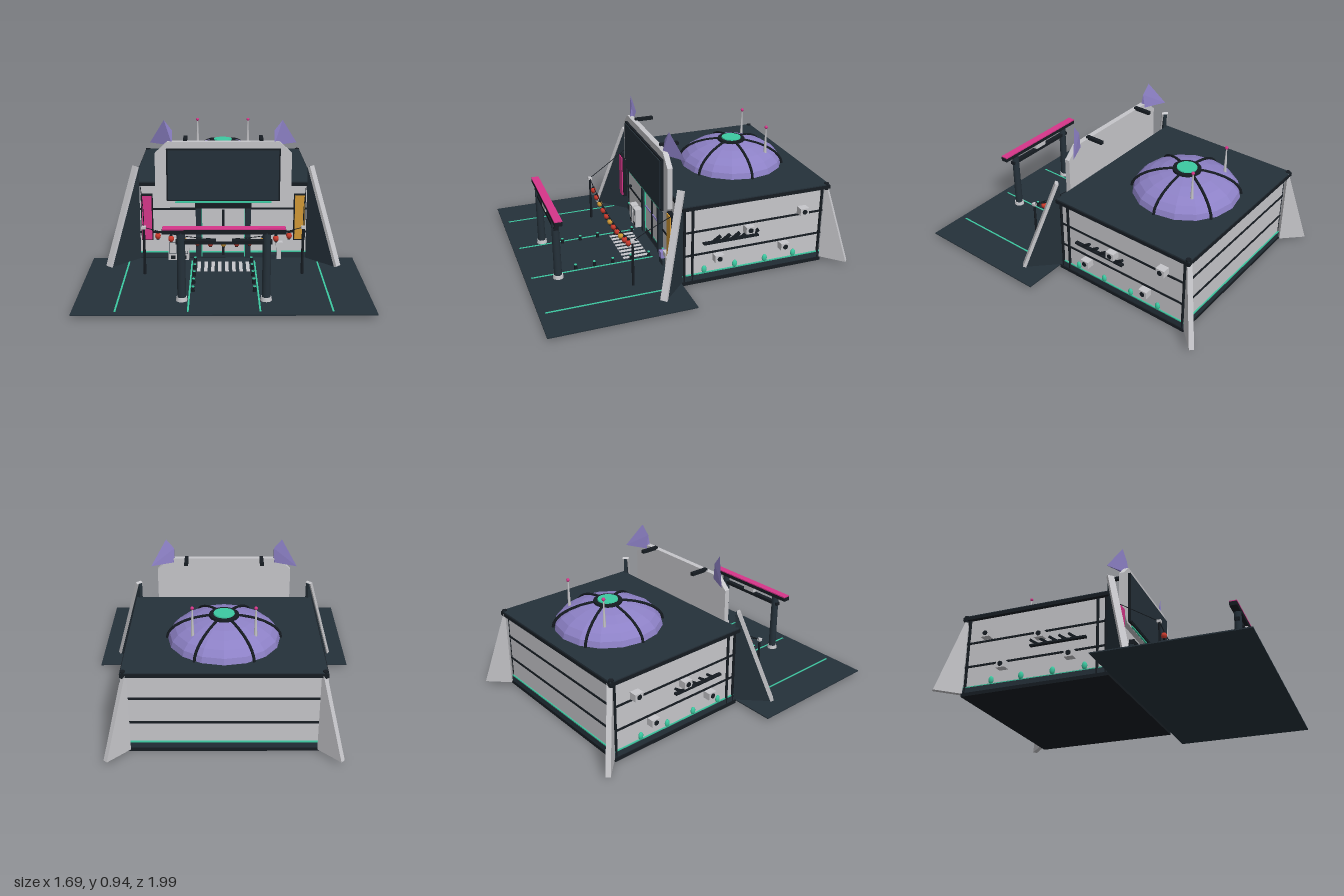
import * as THREE from 'three';
import { ConvexGeometry } from 'three/addons/geometries/ConvexGeometry.js';

const V = (x, y, z) => new THREE.Vector3(x, y, z);
const mat = (name, color, extra = {}) => Object.assign(new THREE.MeshStandardMaterial({ color, ...extra }), { name });

export function createModel() {
  const root = new THREE.Group();
  root.name = 'building';
  const wall = mat('lightGrey', 0xc6c6ca);
  const dark = mat('darkSlate', 0x25313a);
  const black = mat('nearBlack', 0x161c22);
  const purple = mat('purple', 0x8d81c6);
  const green = mat('mintGreen', 0x3cc9a1);
  const pink = mat('pink', 0xd6368a);
  const gold = mat('gold', 0xd39a36);
  const red = mat('red', 0xcb3a2c);
  purple.flatShading = true;

  const add = (name, geo, m, x = 0, y = 0, z = 0) => {
    const mesh = new THREE.Mesh(geo, m);
    mesh.name = name;
    mesh.position.set(x, y, z);
    root.add(mesh);
    return mesh;
  };
  // Box given by its minimum and maximum corners
  const box = (name, m, x0, x1, y0, y1, z0, z1) =>
    add(name, new THREE.BoxGeometry(x1 - x0, y1 - y0, z1 - z0), m, (x0 + x1) / 2, (y0 + y1) / 2, (z0 + z1) / 2);
  const cyl = (name, m, rTop, rBottom, y0, y1, x, z, n = 12) =>
    add(name, new THREE.CylinderGeometry(rTop, rBottom, y1 - y0, n), m, x, (y0 + y1) / 2, z);
  const tube = (name, m, points, r, n = 16) =>
    add(name, new THREE.TubeGeometry(new THREE.CatmullRomCurve3(points), n, r, 5), m);

  // Main block
  box('baseSlab', black, -0.567, 0.567, 0, 0.022, -0.845, 0.112);
  box('plinth', dark, -0.56, 0.56, 0.022, 0.057, -0.845, 0.105);
  box('plinthLight', green, -0.557, 0.557, 0.057, 0.064, -0.842, 0.102);
  box('walls', wall, -0.55, 0.55, 0.06, 0.515, -0.835, 0.09);
  for (const y of [0.195, 0.352]) box('wallBand', black, -0.556, 0.556, y - 0.006, y + 0.006, -0.841, 0.096);
  box('roofEdge', black, -0.578, 0.578, 0.508, 0.53, -0.87, 0.112);
  box('roof', dark, -0.573, 0.573, 0.525, 0.537, -0.865, 0.107);
  for (const s of [-1, 1]) {
    for (const z of [0.09, 0.037, -0.828]) cyl('wallPost', black, 0.009, 0.009, 0.02, 0.515, s * 0.553, z, 8);
    cyl('roofCornerCap', black, 0.016, 0.016, 0.5, 0.542, s * 0.56, -0.852, 8);
  }

  // Corner fins: dark with a pale rail in front, plain at the back
  const fin = (name, m, length, top, thick, x, z, angle) => {
    const shape = new THREE.Shape([[-0.01, 0.022], [length, 0.022], [0, top], [-0.01, top]].map(p => new THREE.Vector2(...p)));
    const geo = new THREE.ExtrudeGeometry(shape, { depth: thick, bevelEnabled: false }).translate(0, 0, -thick / 2);
    add(name, geo, m, x, 0, z).rotation.y = angle;
  };
  for (const s of [-1, 1]) {
    const front = s > 0 ? -Math.PI / 4 : -3 * Math.PI / 4;
    fin('frontFin', dark, 0.235, 0.635, 0.022, s * 0.55, 0.11, front);
    fin('rearFin', wall, 0.165, 0.53, 0.03, s * 0.556, -0.858, -front);
    const rail = add('finRail', new THREE.BoxGeometry(0.02, 0.655, 0.042), wall, s * 0.637, 0.334, 0.197);
    rail.rotation.set(0, front, Math.atan2(0.235, 0.613), 'YXZ');
  }

  // Dome with ribs and cap
  const R = 0.335, H = 0.153, domeZ = -0.45, y0 = 0.533;
  const profile = [];
  for (let i = 0; i <= 6; i++) {
    const a = i / 6 * Math.PI / 2;
    profile.push(new THREE.Vector2(Math.max(R * Math.cos(a), 0.0001), H * Math.sin(a)));
  }
  add('dome', new THREE.LatheGeometry(profile, 16), purple, 0, y0, domeZ);
  for (let k = 0; k < 3; k++) {
    const pts = [];
    for (let i = 0; i <= 12; i++) {
      const a = i / 12 * Math.PI;
      pts.push(V((R + 0.004) * Math.cos(a), (H + 0.002) * Math.sin(a), 0));
    }
    const rib = tube('domeRib', black, pts, 0.009, 24);
    rib.position.set(0, y0, domeZ);
    rib.rotation.y = k * Math.PI / 3;
  }
  cyl('domeCap', black, 0.088, 0.09, 0.672, 0.694, 0, domeZ, 20);
  cyl('domeLight', green, 0.062, 0.064, 0.69, 0.701, 0, domeZ, 20);
  for (const s of [-1, 1]) {
    cyl('antenna', wall, 0.004, 0.011, 0.61, 0.8, s * 0.18, -0.61, 8);
    add('antennaTip', new THREE.SphereGeometry(0.011, 8, 6), pink, s * 0.18, 0.807, -0.61);
  }

  // Front billboard
  const outline = [[-0.35, 0.805], [-0.43, 0.73], [-0.43, 0.465], [-0.375, 0.41], [0.375, 0.41], [0.43, 0.465], [0.43, 0.73], [0.35, 0.805]];
  const board = new THREE.Shape(outline.map(p => new THREE.Vector2(...p)));
  add('billboard', new THREE.ExtrudeGeometry(board, { depth: 0.033, bevelEnabled: false }), wall, 0, 0, 0.12);
  box('screenFrame', black, -0.358, 0.358, 0.425, 0.762, 0.15, 0.168);
  box('screen', dark, -0.348, 0.348, 0.435, 0.752, 0.166, 0.174);
  box('screenLight', green, -0.305, 0.305, 0.412, 0.42, 0.15, 0.163);
  for (const s of [-1, 1]) {
    box('billboardBracket', black, s * 0.24 - 0.012, s * 0.24 + 0.012, 0.798, 0.818, 0.015, 0.135);
    // Pointed ears on the billboard corners
    add('ear', new ConvexGeometry([V(s * 0.465, 0.78, 0.053), V(s * 0.37, 0.937, 0.122),
      V(s * 0.32, 0.873, 0.13), V(s * 0.318, 0.78, 0.145), V(s * 0.325, 0.78, 0.118)]), purple);
  }

  // Entrance
  box('doorPanel', wall, -0.145, 0.145, 0.022, 0.365, 0.09, 0.1);
  box('doorLintel', black, -0.18, 0.18, 0.362, 0.392, 0.09, 0.125);
  box('doorSplit', black, -0.008, 0.008, 0.04, 0.35, 0.098, 0.108);
  box('doorHandleBar', purple, -0.14, 0.14, 0.219, 0.23, 0.098, 0.106);
  for (const s of [-1, 1]) {
    box('doorJamb', dark, s * 0.159 - 0.018, s * 0.159 + 0.018, 0.022, 0.37, 0.09, 0.12);
    box('doorLight', green, s * 0.139 - 0.003, s * 0.139 + 0.003, 0.03, 0.36, 0.098, 0.108);
    // Hanging banners
    const x = s * 0.486;
    box('bannerFrame', black, x - 0.037, x + 0.037, 0.163, 0.465, 0.135, 0.162);
    box('banner', s < 0 ? pink : gold, x - 0.031, x + 0.031, 0.17, 0.458, 0.16, 0.169);
    for (const y of [0.22, 0.41]) box('bannerArm', black, x - 0.01, x + 0.01, y - 0.007, y + 0.007, 0.085, 0.14);
  }

  // Kiosks and bins beside the door
  for (const x of [-0.325, -0.252]) {
    box('kiosk', wall, x - 0.03, x + 0.03, 0.022, 0.155, 0.1, 0.148);
    box('kioskScreen', dark, x - 0.022, x + 0.022, 0.065, 0.145, 0.146, 0.15);
    box('kioskPanel', wall, x - 0.02, x + 0.02, 0.067, 0.143, 0.149, 0.151);
    box('kioskSlot', black, x - 0.014, x + 0.014, 0.03, 0.052, 0.146, 0.151);
  }
  box('crate', purple, 0.262, 0.305, 0.06, 0.103, 0.11, 0.15);
  box('crateStand', dark, 0.262, 0.335, 0.022, 0.06, 0.11, 0.15);
  box('terminalPost', wall, 0.347, 0.375, 0.022, 0.112, 0.12, 0.14);
  box('terminalHead', wall, 0.338, 0.384, 0.108, 0.14, 0.11, 0.15);

  // Side wall details
  for (const s of [-1, 1]) {
    for (const [z, y] of [[-0.325, 0.322], [-0.69, 0.385], [-0.125, 0.163], [-0.57, 0.163]]) {
      box('ventBox', wall, s * 0.574 - 0.026, s * 0.574 + 0.026, y - 0.023, y + 0.023, z - 0.029, z + 0.029);
      add('ventFan', new THREE.CylinderGeometry(0.016, 0.016, 0.006, 12), black, s * 0.601, y, z).rotation.z = Math.PI / 2;
    }
    for (const z of [-0.04, -0.245, -0.45, -0.65])
      add('ovalLamp', new THREE.SphereGeometry(1, 10, 8), green, s * 0.555, 0.086, z).scale.set(0.012, 0.025, 0.017);
    box('louvreRail', black, s * 0.56 - 0.014, s * 0.56 + 0.014, 0.26, 0.272, -0.395, -0.03);
    for (let i = 0; i < 5; i++) {
      const slat = add('louvreSlat', new THREE.BoxGeometry(0.02, 0.014, 0.065), black, s * 0.564, 0.284, -0.115 - i * 0.063);
      slat.rotation.x = 0.6;
    }
  }

  // Forecourt with markings
  box('forecourt', dark, -0.843, 0.843, 0.016, 0.023, 0.112, 1);
  for (const s of [-1, 1]) {
    for (const [x, z] of [[0.2, 0.17], [0.603, 0.19]])
      box('groundLine', green, s * x - 0.005, s * x + 0.005, 0.022, 0.026, z, 0.96);
    for (let i = 0; i < 5; i++) {
      const z = 0.19 + i * 0.121;
      cyl('bollard', black, 0.009, 0.011, 0.022, 0.052, s * 0.18, z, 8);
      cyl('bollardLight', green, 0.009, 0.009, 0.052, 0.057, s * 0.18, z, 8);
    }
  }
  for (let i = 0; i < 8; i++) {
    const x = -0.154 + i * 0.044;
    box('crossingStripe', wall, x - 0.011, x + 0.011, 0.022, 0.026, 0.19, 0.355);
  }

  // Entrance gate
  for (const s of [-1, 1]) {
    cyl('gatePost', dark, 0.023, 0.025, 0.03, 0.43, s * 0.24, 0.8);
    cyl('gatePostBase', wall, 0.03, 0.034, 0.022, 0.045, s * 0.24, 0.8);
  }
  box('gateLowerBeam', black, -0.27, 0.27, 0.362, 0.384, 0.785, 0.815);
  box('gateTopBeam', black, -0.345, 0.345, 0.424, 0.45, 0.776, 0.822);
  box('gateTopCover', pink, -0.342, 0.342, 0.449, 0.457, 0.775, 0.823);
  box('gatePlaque', wall, -0.045, 0.045, 0.382, 0.424, 0.785, 0.817);

  // Lantern string between two poles
  const sag = x => 0.25 + 0.075 * (x / 0.485) ** 2;
  const string = [];
  for (let i = 0; i <= 10; i++) {
    const x = -0.485 + i * 0.097;
    string.push(V(x, sag(x), 0.393));
  }
  tube('lanternString', black, string, 0.0025, 30);
  for (const s of [-1, 1]) {
    cyl('lanternPole', black, 0.007, 0.009, 0.022, 0.32, s * 0.485, 0.393, 8);
    box('lanternPoleCap', wall, s * 0.485 - 0.012, s * 0.485 + 0.012, 0.316, 0.332, 0.381, 0.405);
    tube('stayCable', black, [V(s * 0.485, 0.325, 0.393), V(s * 0.5, 0.4, 0.27), V(s * 0.53, 0.5, 0.1)], 0.0025);
  }
  for (let i = -5; i <= 5; i++) {
    const x = i * 0.08, y = sag(x) - 0.03;
    const body = [[0.008, -0.019], [0.016, -0.01], [0.018, 0], [0.016, 0.01], [0.008, 0.019]].map(p => new THREE.Vector2(...p));
    add('lantern', new THREE.LatheGeometry(body, 10), i % 3 ? red : gold, x, y, 0.393);
    for (const e of [-1, 1]) cyl('lanternCap', black, 0.009, 0.009, y + e * 0.02 - 0.003, y + e * 0.02 + 0.003, x, 0.393, 8);
    cyl('lanternHook', black, 0.002, 0.002, y + 0.02, y + 0.031, x, 0.393, 5);
  }
  return root;
}
